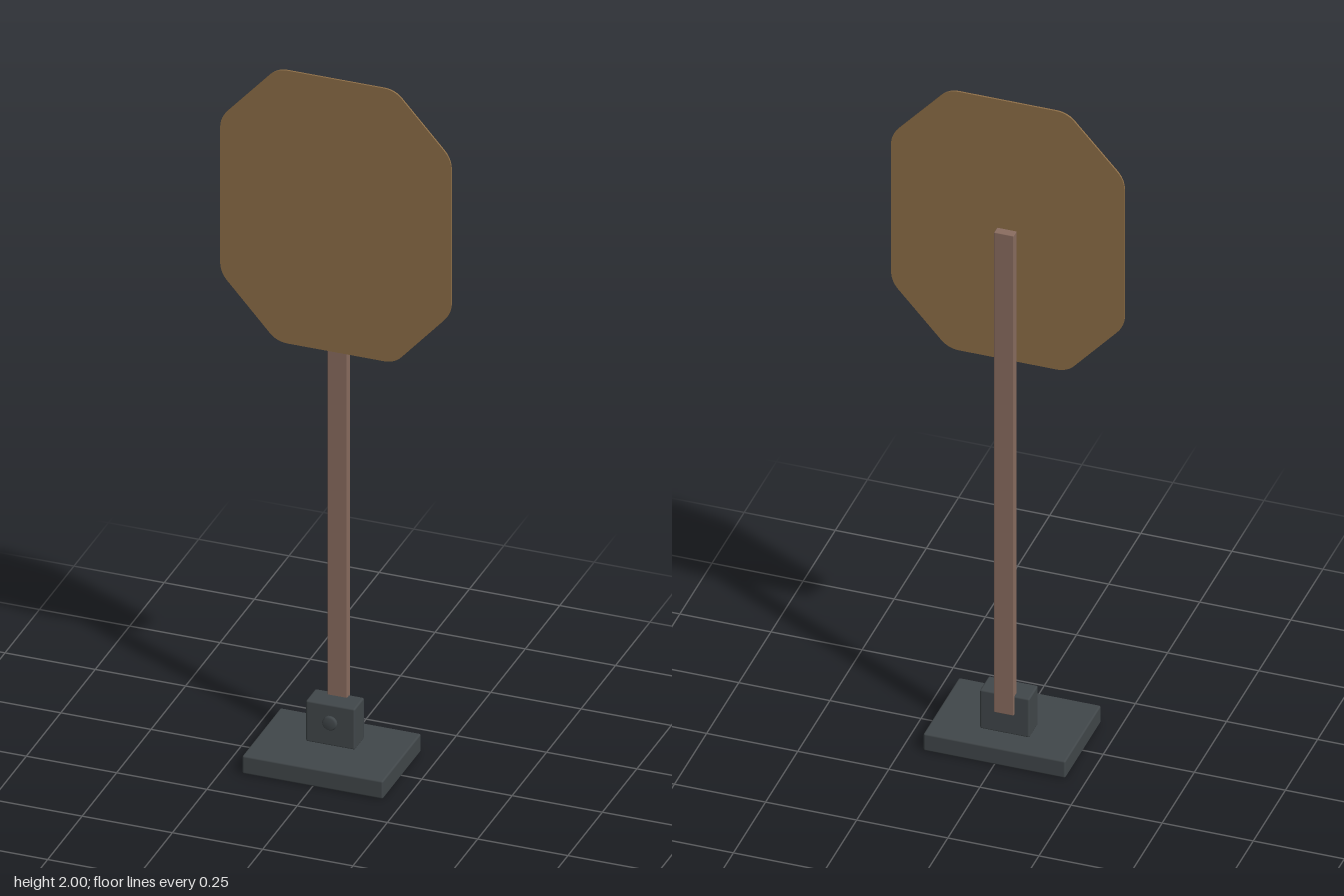
import * as THREE from 'three';
import { RoundedBoxGeometry } from 'three/addons/geometries/RoundedBoxGeometry.js';

export function createModel() {
  const model = new THREE.Group();
  const material = (name, color) => {
    const m = new THREE.MeshStandardMaterial({ color });
    m.name = name;
    return m;
  };
  const darkMetal = material('dark metal', 0x41474a);
  const postWood = material('post brown', 0x8a6d60);
  const plateTan = material('plate tan', 0x8d6e47);

  const add = (name, geometry, mat, x, y, z) => {
    const mesh = new THREE.Mesh(geometry, mat);
    mesh.name = name;
    mesh.position.set(x, y, z);
    model.add(mesh);
    return mesh;
  };

  // Softly bevelled foot and the clamp block on it
  add('base', new RoundedBoxGeometry(0.39, 0.053, 0.278, 2, 0.005), darkMetal, 0, 0.0265, 0);
  add('clampBlock', new RoundedBoxGeometry(0.136, 0.121, 0.07, 2, 0.005), darkMetal, -0.002, 0.1115, -0.03);

  // Round bolt head: cylinder with a bevelled face
  const boltProfile = [[0, -0.012], [0.02, -0.012], [0.02, 0.006], [0.016, 0.01], [0, 0.01]]
    .map(([r, h]) => new THREE.Vector2(r, h));
  const bolt = add('boltHead', new THREE.LatheGeometry(boltProfile, 20), darkMetal, -0.002, 0.12, 0.005);
  bolt.rotation.x = Math.PI / 2;

  // Upright post behind the plate
  add('post', new RoundedBoxGeometry(0.054, 1.495, 0.025, 1, 0.002), postWood, -0.002, 0.8625, -0.0585);

  // Octagonal plate with rounded corners
  const corners = [
    [0.163, 2], [-0.163, 2], [-0.32, 1.826], [-0.32, 1.37],
    [-0.163, 1.195], [0.163, 1.195], [0.32, 1.37], [0.32, 1.826],
  ].map(([x, y]) => new THREE.Vector2(x, y));
  const outline = new THREE.Shape();
  corners.forEach((corner, i) => {
    const toward = (other) => corner.clone().add(other.clone().sub(corner).setLength(0.03));
    const start = toward(corners[(i + 7) % 8]);
    const end = toward(corners[(i + 1) % 8]);
    if (i === 0) outline.moveTo(start.x, start.y);
    else outline.lineTo(start.x, start.y);
    outline.quadraticCurveTo(corner.x, corner.y, end.x, end.y);
  });
  outline.closePath();
  const plate = new THREE.ExtrudeGeometry(outline, { depth: 0.005, bevelEnabled: false, curveSegments: 6 });
  add('signPlate', plate, plateTan, 0, 0, -0.0345);

  return model;
}
